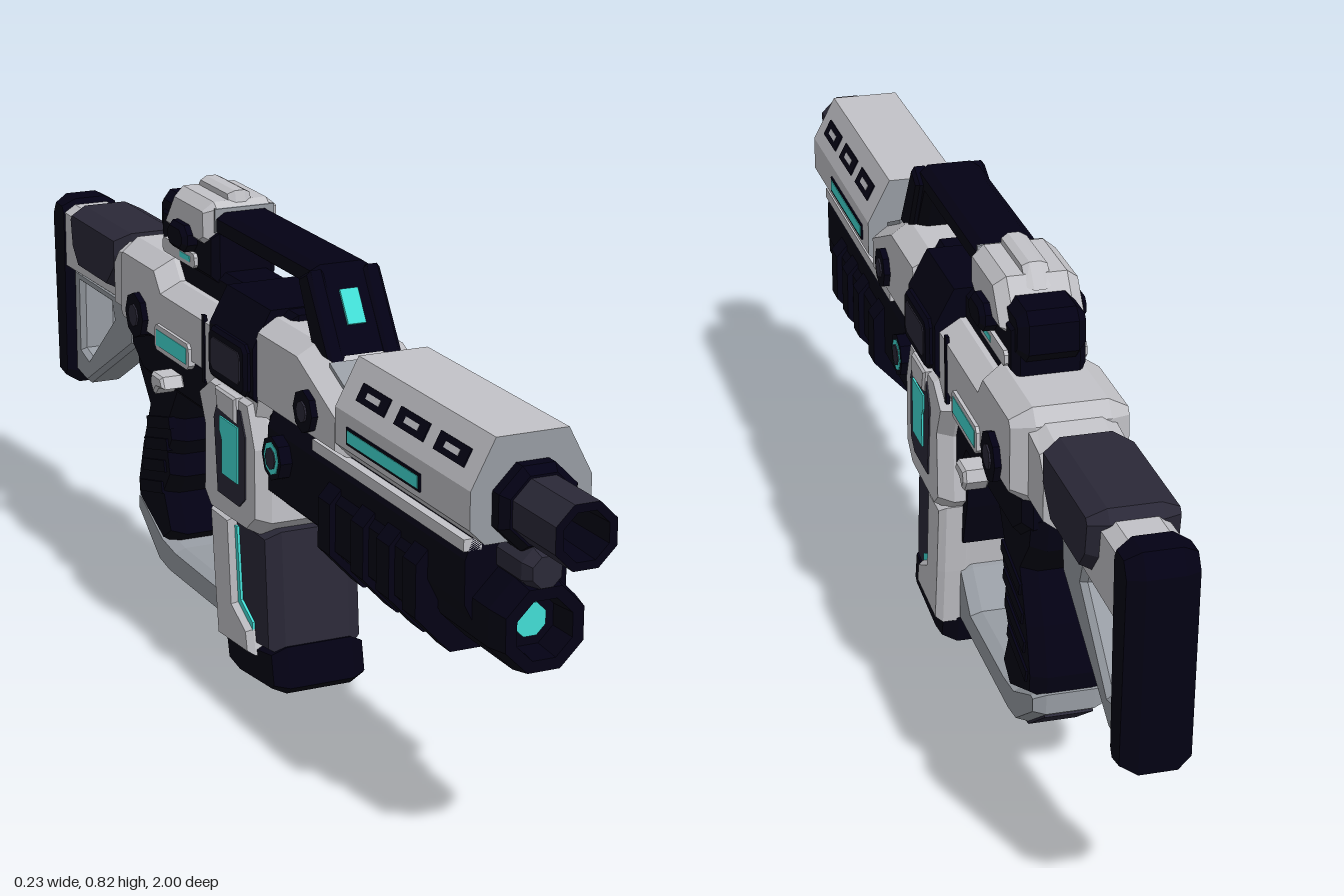
import * as THREE from 'three';

export function createModel() {
  const model = new THREE.Group();
  const mat = (name, color) => {
    const m = new THREE.MeshStandardMaterial({ color });
    m.name = name;
    return m;
  };
  const light = mat('light grey', 0xc3c3c8);
  const mid = mat('mid grey', 0x979ca3);
  const dark = mat('dark grey', 0x2b2938);
  const navy = mat('navy', 0x030114);
  const teal = mat('teal', 0x42ded6);

  const add = (name, geometry, material) => {
    const mesh = new THREE.Mesh(geometry, material);
    mesh.name = name;
    model.add(mesh);
    return mesh;
  };
  const toShape = (pts) => new THREE.Shape(pts.map((p) => new THREE.Vector2(p[0], p[1])));

  // Side profile of [z, y] points, extruded across x with a chamfer
  // (bx deep in x, bs inward from the outline)
  const profile = (name, material, pts, width, { bx = 0, bs = bx, x = 0, hole } = {}) => {
    const shape = toShape(pts);
    if (hole) shape.holes.push(toShape(hole));
    const depth = width - 2 * bx;
    const g = new THREE.ExtrudeGeometry(shape, {
      depth, bevelEnabled: bx > 0, bevelThickness: bx, bevelSize: bs, bevelOffset: -bs, bevelSegments: 1,
    });
    g.translate(0, 0, -depth / 2).rotateY(-Math.PI / 2).translate(x, 0, 0);
    return add(name, g, material);
  };
  const both = (name, material, pts, width, opts) => {
    for (const s of [1, -1]) profile(name, material, pts, width, { ...opts, x: s * opts.x });
  };
  const rect = (z0, z1, y0, y1) => [[z0, y0], [z1, y0], [z1, y1], [z0, y1]];
  const chamfered = (z0, z1, y0, y1, c) => [
    [z0 + c, y0], [z1 - c, y0], [z1, y0 + c], [z1, y1 - c], [z1 - c, y1], [z0 + c, y1], [z0, y1 - c], [z0, y0 + c],
  ];

  // Mirrored cross-section of [x, y] points (right half, bottom to top), extruded along z;
  // a pair of materials colours the end caps and the sides
  const section = (name, material, half, z0, z1) => {
    const pts = [...half, ...half.map(([x, y]) => [-x, y]).reverse()];
    const g = new THREE.ExtrudeGeometry(toShape(pts), { depth: z1 - z0, bevelEnabled: false });
    return add(name, g.translate(0, 0, z0), material);
  };

  // Eight-sided turned part along z, from [radius, z] points
  const turned = (name, material, pts, y, sides = 8) => {
    const indexed = new THREE.LatheGeometry(pts.map((p) => new THREE.Vector2(p[0], p[1])), sides);
    const g = indexed.toNonIndexed();
    g.rotateY(Math.PI / sides).rotateX(Math.PI / 2).translate(0, y, 0);
    g.computeVertexNormals();
    return add(name, g, material);
  };

  // Barrel and collar
  turned('barrel', dark, [[0.054, 0.8], [0.054, 1]], 0.58);
  turned('barrelBore', navy, [[0.054, 1], [0.04, 1], [0.036, 0.9], [0, 0.9]], 0.58);
  turned('barrelCollar', navy, [[0, 0.8], [0.07, 0.8], [0.07, 0.86], [0.058, 0.875], [0, 0.875]], 0.58);

  // Handguard with slots and glowing strip
  section('handguard', [mid, light], [[0.075, 0.525], [0.1, 0.55], [0.1, 0.61], [0.06, 0.687]], 0.39, 0.84);
  const slope = Math.atan2(0.04, 0.077);
  for (const s of [1, -1]) {
    for (const z of [0.75, 0.62, 0.49]) {
      const rim = add('slotRim', new THREE.BoxGeometry(0.006, 0.03, 0.096), navy);
      const gap = add('slotInset', new THREE.BoxGeometry(0.007, 0.01, 0.045), light);
      for (const m of [rim, gap]) {
        m.position.set(s * 0.081, 0.645, z);
        m.rotation.z = s * slope;
      }
    }
  }
  both('handguardStripFrame', navy, rect(0.435, 0.685, 0.561, 0.589), 0.006, { x: 0.1 });
  both('handguardStrip', teal, rect(0.44, 0.68, 0.565, 0.585), 0.008, { x: 0.1 });

  // Receiver
  profile('upperReceiver', light, [
    [0.4, 0.51], [0.4, 0.6], [0.24, 0.67], [0.07, 0.67], [0.05, 0.63], [-0.33, 0.63], [-0.36, 0.665],
    [-0.53, 0.665], [-0.55, 0.64], [-0.55, 0.52], [-0.53, 0.5], [-0.16, 0.5], [-0.12, 0.45], [0.08, 0.45], [0.1, 0.51],
  ], 0.19, { bx: 0.035, bs: 0.022 });
  profile('frontSlopePlate', mid, [[0.388, 0.585], [0.388, 0.609], [0.295, 0.65], [0.295, 0.62]], 0.13);
  profile('topRail', navy, [[0.12, 0.6], [0.12, 0.68], [-0.34, 0.68], [-0.42, 0.67], [-0.42, 0.6]], 0.1, { bx: 0.012 });
  profile('lowerReceiver', navy, [[0.12, 0.36], [0.12, 0.52], [-0.54, 0.52], [-0.54, 0.46], [-0.48, 0.42], [-0.2, 0.42], [-0.15, 0.36]], 0.15, { bx: 0.015 });
  section('sidePanelFrame', navy, [[0.09, 0.52], [0.103, 0.535], [0.103, 0.62], [0.07, 0.682]], -0.1, 0.08);
  both('sidePanelRim', navy, chamfered(-0.085, 0.07, 0.532, 0.622, 0.012), 0.03, { x: 0.099, bx: 0.006 });
  both('sidePanel', dark, chamfered(-0.068, 0.052, 0.55, 0.606, 0.008), 0.008, { x: 0.112 });
  both('receiverStripFrame', light, chamfered(-0.355, -0.2, 0.505, 0.552, 0.008), 0.012, { x: 0.095 });
  both('receiverStrip', teal, rect(-0.345, -0.21, 0.514, 0.543), 0.008, { x: 0.098 });
  both('receiverSeam', navy, rect(-0.15, -0.138, 0.5, 0.62), 0.006, { x: 0.094 });
  both('selectorLever', light, [[-0.28, 0.45], [-0.29, 0.47], [-0.335, 0.47], [-0.34, 0.45], [-0.325, 0.43], [-0.31, 0.445]], 0.045, { x: 0.095, bx: 0.005 });

  // Side knobs, the lower front one with a glowing ring
  for (const [z, y, r, glow] of [[0.28, 0.57, 0.036], [0.16, 0.455, 0.038, true], [-0.44, 0.545, 0.042]]) {
    for (const s of [1, -1]) {
      const knob = (name, m, radius, len, x) =>
        add(name, new THREE.CylinderGeometry(radius, radius, len, 8).toNonIndexed().rotateZ(Math.PI / 2).translate(s * x, y, z), m).geometry.computeVertexNormals();
      knob('knob', navy, r, 0.056, 0.078);
      if (glow) knob('knobRing', teal, r * 0.75, 0.006, 0.104);
      knob('knobCap', dark, r * 0.5, 0.008, 0.105);
    }
  }

  // Carrying handle, with a glowing inset on its front slope
  profile('carryHandle', navy, [
    [0.285, 0.655], [0.2, 0.785], [-0.2, 0.785], [-0.2, 0.742], [0.16, 0.742], [0.215, 0.655],
  ], 0.105, { bx: 0.015, bs: 0.01 });
  both('handleFoot', navy, [[0.295, 0.65], [0.21, 0.78], [0.17, 0.76], [0.23, 0.65]], 0.03, { x: 0.05, bx: 0.006 });
  const lens = add('handleLight', new THREE.BoxGeometry(0.032, 0.06, 0.008), teal);
  lens.position.set(0, 0.722, 0.242);
  lens.rotation.x = -Math.atan2(0.085, 0.13);

  // Sight
  profile('sightBase', navy, [[-0.18, 0.66], [-0.18, 0.75], [-0.42, 0.75], [-0.42, 0.66]], 0.12, { bx: 0.012 });
  profile('sightHousing', light, [[-0.19, 0.73], [-0.19, 0.79], [-0.205, 0.8], [-0.34, 0.8], [-0.395, 0.73], [-0.38, 0.715], [-0.22, 0.715]], 0.138, { bx: 0.02, bs: 0.016 });
  profile('sightRidge', light, [[-0.195, 0.78], [-0.205, 0.816], [-0.33, 0.816], [-0.36, 0.78]], 0.042, { bx: 0.012, bs: 0.006 });
  profile('sightFrontPlate', mid, rect(-0.19, -0.184, 0.75, 0.792), 0.11);
  profile('sightEyepiece', navy, chamfered(-0.44, -0.34, 0.69, 0.775, 0.018), 0.11, { bx: 0.015 });
  both('sightKnob', navy, chamfered(-0.33, -0.25, 0.7, 0.748, 0.015), 0.035, { x: 0.07, bx: 0.008 });
  both('sightClamp', light, chamfered(-0.395, -0.25, 0.672, 0.698, 0.006), 0.014, { x: 0.06 });
  both('sightLight', teal, rect(-0.315, -0.27, 0.68, 0.69), 0.006, { x: 0.065 });

  // Under-barrel launcher, with bore, ribs and gas tube
  turned('launcherTube', navy, [[0, 0.08], [0.07, 0.08], [0.072, 0.68], [0.078, 0.7], [0.078, 0.85], [0.07, 0.89], [0.05, 0.89], [0.045, 0.84], [0, 0.84]], 0.4);
  turned('launcherLight', teal, [[0, 0.838], [0.028, 0.838], [0.028, 0.846], [0, 0.846]], 0.4);
  turned('gasTube', dark, [[0, 0.1], [0.036, 0.1], [0.036, 0.875], [0.026, 0.893], [0, 0.893]], 0.49);
  section('tubeBridge', navy, [[0.06, 0.37], [0.085, 0.42], [0.085, 0.49], [0.07, 0.53]], 0.1, 0.8);
  both('bridgeTrim', light, rect(0.28, 0.8, 0.503, 0.522), 0.03, { x: 0.073 });
  section('launcherGrip', navy, [[0.042, 0.312], [0.095, 0.365], [0.095, 0.445], [0.06, 0.49]], 0.35, 0.68);
  section('launcherRear', navy, [[0.045, 0.345], [0.085, 0.38], [0.085, 0.46]], 0.1, 0.35);
  for (const z of [0.66, 0.57, 0.48, 0.36]) {
    section('gripRib', navy, [[0.045, 0.296], [0.105, 0.36], [0.105, 0.445], [0.06, 0.495]], z - 0.022, z + 0.022);
  }

  // Magazine well with glowing window
  profile('magazineWell', light, [
    [0.105, 0.32], [0.105, 0.45], [0.07, 0.53], [-0.1, 0.53], [-0.16, 0.49], [-0.13, 0.43], [-0.135, 0.31], [-0.1, 0.28], [0.06, 0.285],
  ], 0.21, { bx: 0.025, bs: 0.014 });
  both('wellPanel', dark, [[0.055, 0.35], [0.055, 0.46], [0.035, 0.5], [-0.055, 0.5], [-0.075, 0.46], [-0.06, 0.33], [0.03, 0.33]], 0.009, { x: 0.103 });
  both('wellWindow', teal, [[0.03, 0.37], [0.03, 0.47], [-0.045, 0.47], [-0.045, 0.445], [-0.035, 0.43], [-0.035, 0.37]], 0.009, { x: 0.106 });
  both('wellFin', light, [[0.025, 0.475], [0.025, 0.52], [-0.06, 0.52], [-0.05, 0.48]], 0.02, { x: 0.103, bx: 0.004 });

  // Magazine
  profile('magazineFront', dark, [[0.1, 0.3], [0.118, 0.08], [-0.06, 0.06], [-0.06, 0.3]], 0.17, { bx: 0.025, bs: 0.015 });
  both('magazineShell', light, [[-0.03, 0.29], [-0.115, 0.29], [-0.1, 0.16], [-0.085, 0.055], [0.055, 0.065], [0.045, 0.11], [-0.015, 0.14]], 0.06, { x: 0.07, bx: 0.012, bs: 0.008 });
  profile('magazineSpine', light, [[-0.05, 0.29], [-0.11, 0.29], [-0.095, 0.16], [-0.082, 0.06], [-0.04, 0.06]], 0.14);
  both('magazineLight', teal, [[-0.02, 0.275], [-0.03, 0.275], [-0.016, 0.138], [0.045, 0.108], [0.045, 0.122], [-0.005, 0.147]], 0.009, { x: 0.085 });
  profile('magazineBase', navy, [[0.122, 0.1], [0.137, 0.03], [0.12, 0.015], [-0.02, 0], [-0.075, 0.008], [-0.088, 0.06]], 0.17, { bx: 0.025, bs: 0.012 });

  // Hand loop, grip and trigger
  profile('handLoop', mid, [
    [-0.085, 0.17], [-0.105, 0.165], [-0.165, 0.112], [-0.37, 0.112], [-0.43, 0.12], [-0.53, 0.17], [-0.552, 0.17],
    [-0.552, 0.135], [-0.45, 0.063], [-0.4, 0.055], [-0.085, 0.058],
  ], 0.12, { bx: 0.02, bs: 0.008 });
  profile('handLoopSole', dark, [[-0.1, 0.053], [-0.1, 0.06], [-0.4, 0.058], [-0.45, 0.066], [-0.54, 0.13], [-0.545, 0.125], [-0.452, 0.059], [-0.4, 0.051]], 0.08);
  profile('grip', navy, [
    [-0.33, 0.48], [-0.33, 0.42], [-0.37, 0.36], [-0.36, 0.32], [-0.38, 0.29], [-0.37, 0.25], [-0.4, 0.21], [-0.365, 0.14],
    [-0.42, 0.105], [-0.545, 0.16], [-0.55, 0.2], [-0.525, 0.28], [-0.49, 0.36], [-0.54, 0.42], [-0.55, 0.48],
  ], 0.125, { bx: 0.025, bs: 0.014 });
  for (let i = 0; i < 4; i++) {
    const rib = add('gripBand', new THREE.BoxGeometry(0.133, 0.022, 0.11), navy);
    rib.position.set(0, 0.34 - i * 0.045, -0.43 - i * 0.013);
    rib.rotation.x = -0.25;
  }
  profile('trigger', navy, [[-0.25, 0.43], [-0.262, 0.37], [-0.245, 0.34], [-0.265, 0.345], [-0.29, 0.38], [-0.295, 0.43]], 0.03);
  profile('triggerGuard', navy, [[-0.17, 0.43], [-0.215, 0.35], [-0.235, 0.345], [-0.2, 0.43]], 0.05);
  profile('receiverStep', navy, [[-0.1, 0.44], [-0.1, 0.22], [-0.115, 0.22], [-0.142, 0.3], [-0.15, 0.35], [-0.19, 0.44]], 0.12);

  // Stock
  profile('stockNeck', light, [[-0.5, 0.505], [-0.5, 0.65], [-0.61, 0.635], [-0.64, 0.6], [-0.64, 0.505]], 0.14, { bx: 0.025, bs: 0.015 });
  profile('stockTube', light, [[-0.58, 0.505], [-0.58, 0.63], [-0.95, 0.635], [-0.95, 0.5]], 0.105, { bx: 0.02, bs: 0.015 });
  profile('cheekPad', dark, [[-0.61, 0.58], [-0.61, 0.65], [-0.85, 0.65], [-0.865, 0.63], [-0.855, 0.57], [-0.82, 0.53], [-0.66, 0.53]], 0.142, { bx: 0.03, bs: 0.015 });
  profile('stockStrut', mid, [[-0.61, 0.51], [-0.93, 0.51], [-0.93, 0.3], [-0.865, 0.29], [-0.62, 0.43]], 0.075, {
    bx: 0.01, bs: 0.008, hole: [[-0.73, 0.485], [-0.72, 0.46], [-0.855, 0.345], [-0.89, 0.355], [-0.89, 0.485]],
  });
  profile('buttPad', navy, [[-0.915, 0.3], [-0.915, 0.62], [-0.93, 0.645], [-0.98, 0.645], [-1, 0.61], [-0.985, 0.285], [-0.93, 0.275]], 0.11, { bx: 0.025, bs: 0.014 });

  return model;
}
